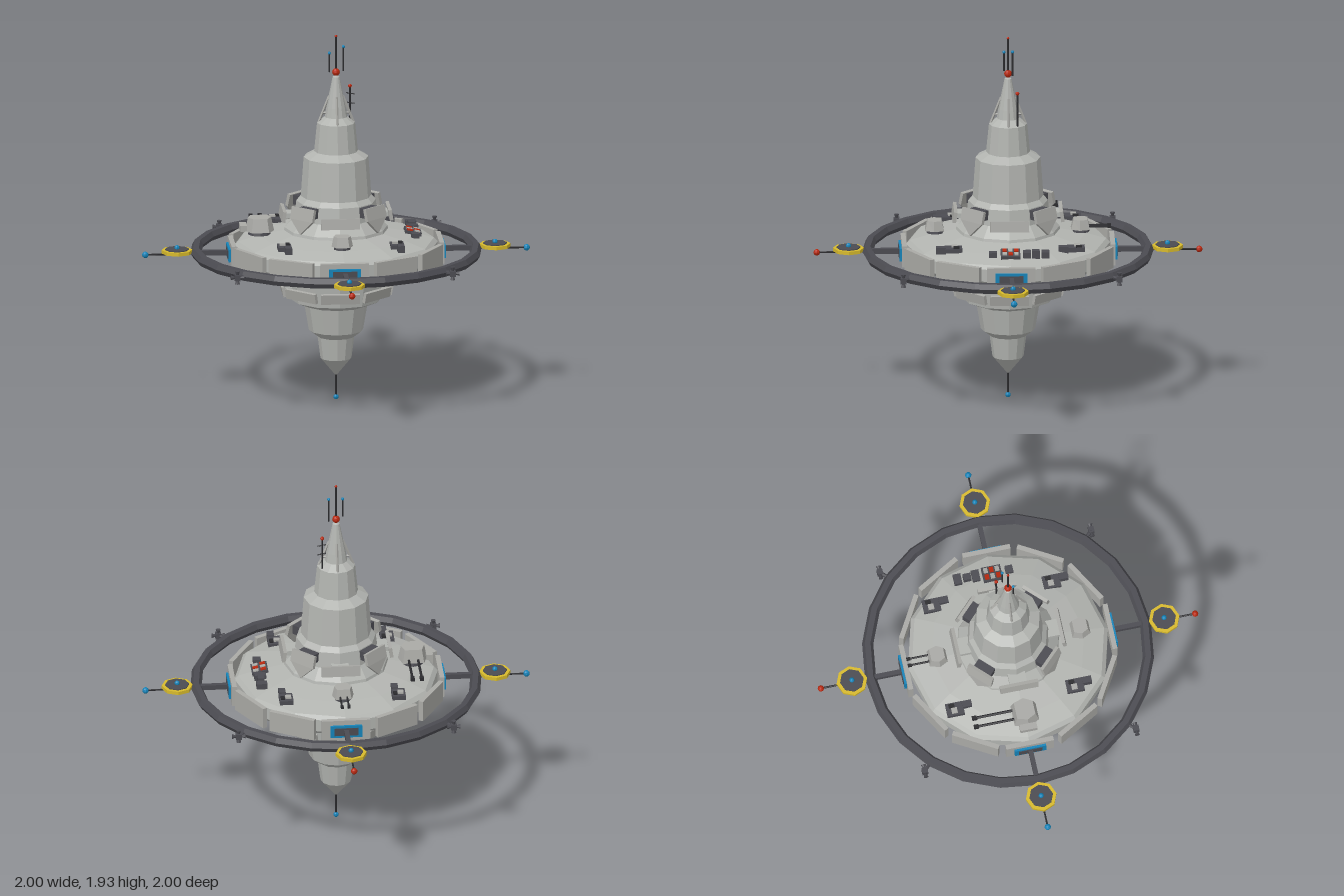
import * as THREE from 'three';

const mat = (name, color) => {
  const m = new THREE.MeshStandardMaterial({ color });
  m.name = name;
  return m;
};

export function createModel() {
  const hull = mat('hull grey', 0xb2b4b0), plate = mat('plate grey', 0xa9a9a5);
  const dark = mat('dark grey', 0x4b4b51), black = mat('rod black', 0x2b2b2e);
  const yellow = mat('yellow', 0xd6b92c), red = mat('red', 0xb8280f), blue = mat('blue', 0x1583b8);
  const model = new THREE.Group();
  model.name = 'spaceStation';

  // Facets a geometry, then adds it as a named mesh
  const add = (parent, name, geo, material, x = 0, y = 0, z = 0) => {
    const g = geo.index ? geo.toNonIndexed() : geo;
    g.computeVertexNormals();
    const m = new THREE.Mesh(g, material);
    m.name = name;
    m.position.set(x, y, z);
    parent.add(m);
    return m;
  };
  const box = (p, name, m, w, h, d, x, y, z) => add(p, name, new THREE.BoxGeometry(w, h, d), m, x, y, z);
  const ball = (p, name, m, r, x, y, z) => add(p, name, new THREE.SphereGeometry(r, 8, 6), m, x, y, z);
  const rod = (p, name, m, a, b, r, sides = 6) => {
    const s = new THREE.Vector3(...a), e = new THREE.Vector3(...b), mid = s.clone().add(e).multiplyScalar(0.5);
    const mesh = add(p, name, new THREE.CylinderGeometry(r, r, s.distanceTo(e), sides), m, mid.x, mid.y, mid.z);
    mesh.quaternion.setFromUnitVectors(new THREE.Vector3(0, 1, 0), e.sub(s).normalize());
    return mesh;
  };
  // Groups spread around the vertical axis; local +z points outward
  const around = (n, name, build) => {
    for (let i = 0; i < n; i++) {
      const g = new THREE.Group();
      g.name = name;
      g.rotation.y = (i / n) * Math.PI * 2;
      build(g, i);
      model.add(g);
    }
  };
  const lathe = (name, pts, sides) =>
    add(model, name, new THREE.LatheGeometry(pts.map(p => new THREE.Vector2(...p)), sides), hull);

  // Central body
  lathe('lowerSpire', [[0, 0.13], [0.08, 0.225], [0.095, 0.34], [0.14, 0.375], [0.163, 0.51], [0.235, 0.54],
    [0.25, 0.66], [0.265, 0.69]], 12);
  lathe('disc', [[0.25, 0.685], [0.36, 0.703], [0.505, 0.745], [0.525, 0.765], [0.525, 0.83], [0.505, 0.85],
    [0.4, 0.88], [0.27, 0.905], [0.25, 0.91]], 12);
  lathe('upperTower', [[0.27, 0.9], [0.265, 0.92], [0.215, 0.975], [0.205, 1.06], [0.182, 1.085], [0.167, 1.29],
    [0.113, 1.32], [0.098, 1.47], [0.058, 1.5], [0.05, 1.55], [0.018, 1.71], [0, 1.72]], 12);

  // Armour around the disc rim
  around(12, 'rimArmour', g => box(g, 'rimPlate', plate, 0.25, 0.112, 0.025, 0, 0.796, 0.536));

  // Collars of plates on tower and lower spire
  around(8, 'collar', (g, i) => {
    const low = box(g, 'lowerCollarPlate', plate, 0.2, 0.052, 0.018, 0, 0.6, 0.275);
    low.rotation.x = 0.2;
    box(g, 'lowerCollarBracket', hull, 0.1, 0.025, 0.05, 0, 0.6, 0.25);
    if (i % 2 === 0) {
      const up = box(g, 'upperCollarPlate', plate, 0.2, 0.055, 0.018, 0, 0.995, 0.275);
      up.rotation.x = -0.15;
      box(g, 'upperCollarBracket', hull, 0.09, 0.025, 0.08, 0, 0.99, 0.235);
    } else {
      const up = box(g, 'raisedCollarPlate', plate, 0.15, 0.065, 0.018, 0, 1.03, 0.262);
      up.rotation.x = -0.25;
      box(g, 'collarRecess', dark, 0.1, 0.05, 0.05, 0, 1.03, 0.222);
      const tri = new THREE.Shape([[-0.075, 0], [0, -0.075], [0.075, 0]].map(p => new THREE.Vector2(...p)));
      const fin = add(g, 'collarPoint', new THREE.ExtrudeGeometry(tri, { depth: 0.015, bevelEnabled: false }),
        plate, 0, 1.0, 0.262);
      fin.rotation.x = -0.15;
    }
  });

  // Outer ring
  const torus = new THREE.TorusGeometry(0.722, 0.029, 6, 24);
  torus.rotateX(Math.PI / 2);
  add(model, 'outerRing', torus, dark, 0, 0.793, 0);

  // Spokes, docking ports, landing pads and end beacons
  around(4, 'arm', (g, i) => {
    box(g, 'spoke', dark, 0.024, 0.026, 0.24, 0, 0.793, 0.62);
    box(g, 'portFrame', blue, 0.164, 0.066, 0.014, 0, 0.793, 0.553);
    box(g, 'portInset', dark, 0.125, 0.042, 0.006, 0, 0.793, 0.56);
    add(g, 'padRim', new THREE.CylinderGeometry(0.08, 0.08, 0.018, 8), yellow, 0, 0.803, 0.82);
    add(g, 'padDeck', new THREE.CylinderGeometry(0.062, 0.062, 0.026, 8), dark, 0, 0.804, 0.82);
    ball(g, 'padLight', blue, 0.014, 0, 0.822, 0.82);
    rod(g, 'beaconRod', black, [0, 0.79, 0.74], [0, 0.788, 0.98], 0.005);
    ball(g, 'beacon', i % 2 ? blue : red, 0.017, 0, 0.788, 0.983);
  });

  // Thruster clusters on the ring diagonals
  for (const sx of [-1, 1]) for (const sz of [-1, 1]) {
    const g = new THREE.Group();
    g.name = 'thrusterCluster';
    g.position.set(sx * 0.555, 0.793, sz * 0.555);
    box(g, 'thrusterBlock', dark, 0.03, 0.03, 0.03, 0, 0, 0);
    rod(g, 'thrusterMount', dark, [0, 0, 0], [-sx * 0.03, 0, -sz * 0.03], 0.01);
    for (const [dx, dy] of [[1, 0], [-1, 0], [0, 1], [0, -1]]) {
      const n = add(g, 'thrusterNozzle', new THREE.CylinderGeometry(0.013, 0.006, 0.02, 8), dark, dx * 0.024, dy * 0.024, 0);
      n.rotation.z = -Math.atan2(dx, dy);
    }
    model.add(g);
  }

  // Gun turrets: tapered house facing -z
  const turret = (name, x, y, z, s, flip, barrel) => {
    const g = new THREE.Group();
    g.name = name;
    g.position.set(x, y, z);
    if (flip) g.rotation.z = Math.PI;
    add(g, 'turretBase', new THREE.CylinderGeometry(0.055 * s, 0.06 * s, 0.02, 10), dark, 0, 0.005, 0);
    const outline = [[-0.055, 0.06], [0.055, 0.06], [0.075, -0.01], [0.045, -0.07], [-0.045, -0.07], [-0.075, -0.01]];
    const shape = new THREE.Shape(outline.map(([a, b]) => new THREE.Vector2(a * s, b * s)));
    const geo = new THREE.ExtrudeGeometry(shape, { depth: 0.07 * s, bevelEnabled: false });
    geo.rotateX(-Math.PI / 2);
    const p = geo.attributes.position;
    for (let i = 0; i < p.count; i++) if (p.getY(i) > 0.03 * s) p.setXYZ(i, p.getX(i) * 0.8, p.getY(i), p.getZ(i) * 0.75);
    add(g, 'turretHouse', geo, plate, 0, 0.015 * s, 0);
    if (barrel) for (const side of [-1, 1]) {
      rod(g, 'barrel', black, [side * 0.024 * s, 0.03 * s, -0.04 * s], [side * 0.024 * s, 0.03 * s, -barrel], 0.007 * s);
      box(g, 'muzzle', black, 0.02 * s, 0.018 * s, 0.025 * s, side * 0.024 * s, 0.03 * s, -barrel + 0.01);
    }
    model.add(g);
    return g;
  };
  const big = turret('largeTurret', -0.395, 0.892, 0, 1, false, 0.265);
  box(big, 'turretSidePod', plate, 0.035, 0.03, 0.09, -0.085, 0.035, 0.005);
  turret('bellyTurret', -0.395, 0.722, 0, 0.85, true, 0.14);
  turret('frontTurret', 0, 0.895, 0.375, 0.74, false, 0);
  turret('backTurret', 0, 0.895, -0.375, 0.74, false, 0.155);

  // Machinery patches on the disc
  for (const sx of [-1, 1]) for (const sz of [-1, 1]) {
    const g = new THREE.Group();
    g.name = 'machineryPatch';
    g.position.set(sx * 0.29, 0.882, sz * 0.315);
    box(g, 'patchBase', dark, 0.07, 0.022, 0.09, 0, 0, -0.025);
    box(g, 'patchStep', dark, 0.035, 0.035, 0.05, 0.015, 0, 0.04);
    box(g, 'patchCover', plate, 0.03, 0.02, 0.03, -0.01, 0.01, -0.03);
    box(g, 'patchVent', black, 0.02, 0.015, 0.03, 0.018, 0.012, -0.04);
    model.add(g);
  }

  // Equipment row and red hatch grids, on top and beneath
  for (const [z, w, h] of [[-0.18, 0.055, 0.03], [-0.13, 0.035, 0.045], [-0.085, 0.06, 0.03], [0.09, 0.04, 0.025]])
    box(model, 'equipmentBox', dark, w, h, 0.04, 0.4, 0.885, z);
  for (const [y, tilt, s] of [[0.884, -0.2, 1], [0.712, 0.28, -1]]) {
    const g = new THREE.Group();
    g.name = 'hatchGrid';
    g.position.set(0.395, y, 0);
    g.rotation.z = tilt;
    box(g, 'gridBase', dark, 0.085, 0.02, 0.1, 0, 0, 0);
    for (let i = 0; i < 2; i++) for (let j = 0; j < 3; j++)
      box(g, 'gridCell', (i + j) % 2 && s > 0 ? plate : red, 0.029, 0.008, 0.022, (i - 0.5) * 0.039, s * 0.012, (j - 1) * 0.03);
    model.add(g);
  }

  // Spire struts
  around(4, 'spireStrut', g => {
    rod(g, 'strut', plate, [0, 1.61, 0.035], [0, 1.465, 0.092], 0.007, 4);
    rod(g, 'strutBrace', plate, [0, 1.52, 0.05], [0, 1.52, 0.07], 0.006, 4);
  });

  // Antennas
  ball(model, 'spireBall', red, 0.02, 0, 1.735, 0);
  const antennas = [[0, 1.73, 1.925, 0, red, 0.007], [-0.036, 1.74, 1.84, 0.02, blue, 0.008],
    [0.04, 1.735, 1.863, -0.022, blue, 0.008], [0.076, 1.47, 1.65, -0.046, red, 0.01], [0, 0.15, 0.018, 0, blue, 0.014]];
  for (const [x, y0, y1, z, m, r] of antennas) {
    rod(model, 'antennaRod', black, [x, y0, z], [x, y1, z], 0.0045);
    ball(model, 'antennaTip', m, r, x, y1, z);
  }
  for (const y of [1.56, 1.61]) rod(model, 'antennaBar', black, [0.055, y + 0.004, -0.046], [0.1, y - 0.004, -0.046], 0.003);

  return model;
}
